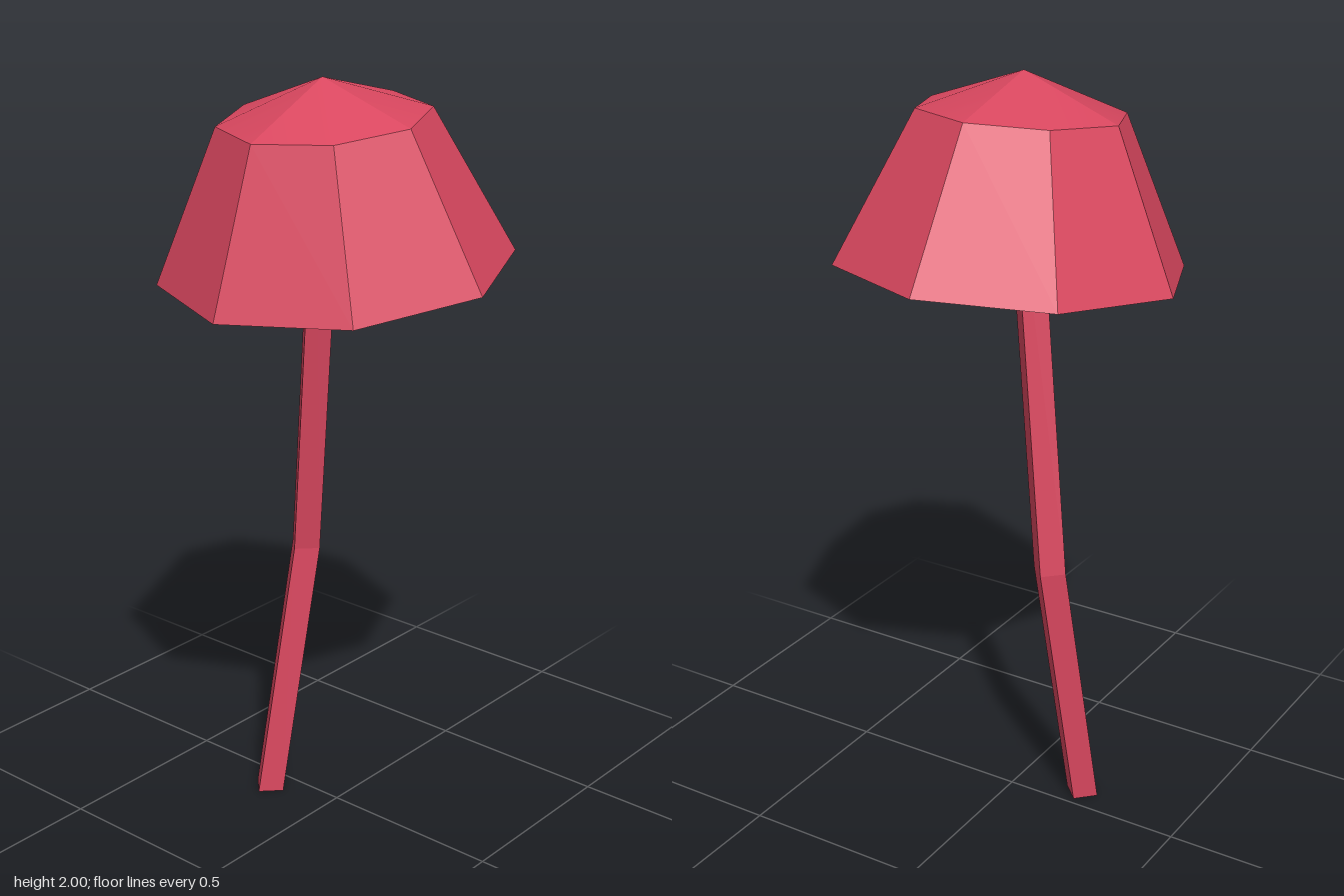
import * as THREE from 'three';

// Each face is a list of corners, fanned from the first; faces share no vertices, so edges stay sharp.
function facetGeometry(faces) {
  const positions = [], index = [];
  for (const corners of faces) {
    const first = positions.length / 3;
    for (const p of corners) positions.push(...p);
    for (let i = 1; i < corners.length - 1; i++) index.push(first, first + i, first + i + 1);
  }
  const geometry = new THREE.BufferGeometry();
  geometry.setAttribute('position', new THREE.Float32BufferAttribute(positions, 3));
  geometry.setIndex(index);
  geometry.computeVertexNormals();
  return geometry;
}

// Ring of corners around a centre, sloping in y along x and z.
function ring(sides, radius, [cx, cy, cz], slopeX = 0, slopeZ = 0) {
  return Array.from({ length: sides }, (_, i) => {
    const a = (i / sides) * Math.PI * 2;
    const dx = Math.cos(a) * radius, dz = Math.sin(a) * radius;
    return [cx + dx, cy + slopeX * dx + slopeZ * dz, cz + dz];
  });
}

// Side walls between two rings.
function walls(low, high) {
  return low.map((p, i) => {
    const j = (i + 1) % low.length;
    return [p, high[i], high[j], low[j]];
  });
}

export function createModel() {
  const group = new THREE.Group();
  const red = new THREE.MeshStandardMaterial({ color: 0xd9475f, side: THREE.DoubleSide });
  red.name = 'rose red';

  function add(name, faces) {
    const mesh = new THREE.Mesh(facetGeometry(faces), red);
    mesh.name = name;
    group.add(mesh);
  }

  // Cap: hollow tilted octagonal bell with a shallow four-panel crown
  const rim = ring(8, 0.45, [0, 1.52, 0], 0.1, 0.011);
  const shoulder = ring(8, 0.265, [-0.04, 1.903, -0.005], 0.1, 0.011);
  const apex = [-0.05, 2, -0.003];
  add('capSides', walls(rim, shoulder));
  add('capCrown', [0, 2, 4, 6].map(i => [apex, shoulder[(i + 2) % 8], shoulder[i + 1], shoulder[i]]));

  // Stem: bent four-sided stalk reaching up into the cap
  const stem = [[-0.067, 0, -0.188], [0.033, 0.72, -0.136], [-0.028, 1.93, -0.002]]
    .map(centre => ring(4, 0.048, centre));
  add('stem', [stem[0], ...walls(stem[0], stem[1]), ...walls(stem[1], stem[2])]);

  return group;
}
